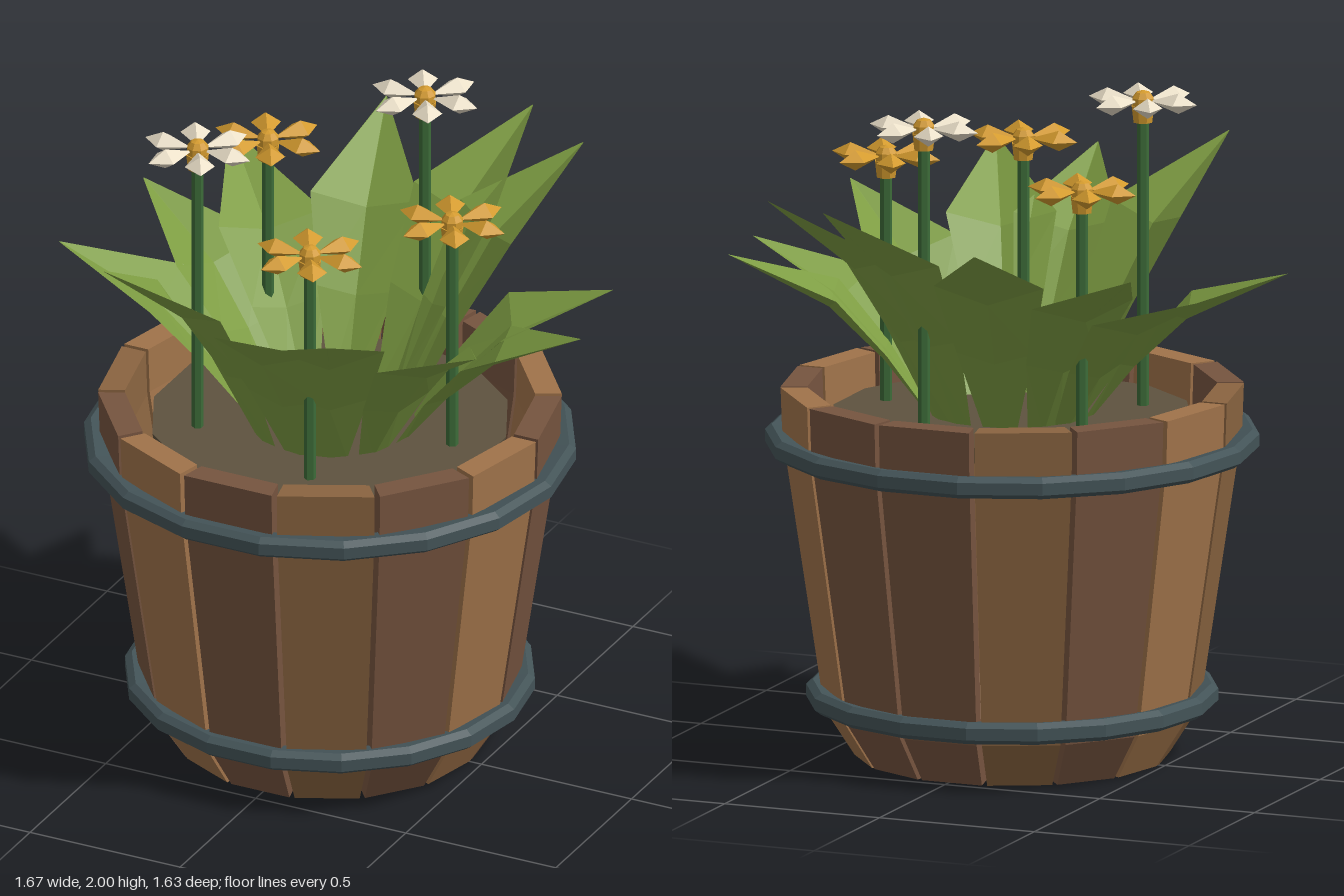
import * as THREE from 'three';

const STAVES = 14;
const SEG = (Math.PI * 2) / STAVES;
const mat = (color, side = THREE.FrontSide) =>
  new THREE.MeshStandardMaterial({ color, flatShading: true, side });

const WOOD = { A: mat(0xa0734a), B: mat(0x76543f), C: mat(0x8a6440) };
const IRON = mat(0x435357);
const SOIL = mat(0x5e523f);
const STEM = mat(0x3c6b38);
const LEAF = mat(0x7d9c42, THREE.DoubleSide);
const GOLD = mat(0xd39a2e);
const CREAM = mat(0xeadfc8);

function add(parent, name, geometry, material, x = 0, y = 0, z = 0) {
  const mesh = new THREE.Mesh(geometry, material);
  mesh.name = name;
  mesh.position.set(x, y, z);
  parent.add(mesh);
  return mesh;
}

// Joins rows of points into faces; closed rows get end caps.
function loft(rows, closed) {
  const out = [];
  const quad = (a, b, c, d) => out.push(...a, ...b, ...c, ...a, ...c, ...d);
  const n = rows[0].length;
  for (let k = 0; k < rows.length - 1; k++) {
    for (let j = 0; j < (closed ? n : n - 1); j++) {
      const m = (j + 1) % n;
      quad(rows[k][j], rows[k + 1][j], rows[k + 1][m], rows[k][m]);
    }
  }
  if (closed) {
    quad(...rows[0]);
    quad(...[...rows[rows.length - 1]].reverse());
  }
  const g = new THREE.BufferGeometry();
  g.setAttribute('position', new THREE.Float32BufferAttribute(out, 3));
  g.computeVertexNormals();
  return g;
}

// One bent plank of the tub, centred on angle 0.
function staveGeometry() {
  const profile = [[0.47, 0], [0.56, 0.14], [0.685, 0.98], [0.69, 1.12]];
  const thick = 0.08, gap = 0.008;
  const corner = (r, y, side) => {
    const a = side * (SEG / 2 - gap / r);
    return [r * Math.cos(a), y, r * Math.sin(a)];
  };
  return loft(profile.map(([r, y]) => [
    corner(r, y, -1), corner(r, y, 1), corner(r - thick, y, 1), corner(r - thick, y, -1),
  ]), true);
}

// Iron band with bevelled edges.
function hoopGeometry(r, y) {
  const profile = [
    [-0.07, -0.025], [-0.02, -0.033], [0, -0.018], [0, 0.018],
    [-0.02, 0.033], [-0.07, 0.025], [-0.07, -0.025],
  ].map(([dx, dy]) => new THREE.Vector2(r + dx, y + dy));
  return new THREE.LatheGeometry(profile, 18).rotateY(Math.PI / 2);
}

// Folded, arching leaf growing along +x.
function leafGeometry(tipR, tipY) {
  const base = 1.02, h = tipY - base;
  // radius, height share, half width, fold depth
  const sections = [
    [0.24, 0, 0.05, 0.01], [0.38, 0.36, 0.115, 0.03],
    [0.54, 0.68, 0.165, 0.05], [tipR, 1, 0.002, 0],
  ];
  return loft(sections.map(([r, t, w, fold]) => {
    const y = base + h * t;
    return [[r - fold * 0.5, y + fold, -w], [r, y, 0], [r - fold * 0.5, y + fold, w]];
  }), false);
}

// Kite-shaped solid petal pointing along +x.
function petalGeometry() {
  const g = new THREE.OctahedronGeometry(1);
  const p = g.attributes.position;
  for (let i = 0; i < p.count; i++) {
    const x = p.getX(i);
    p.setXYZ(i, 0.115 + x * (x > 0 ? 0.06 : 0.095), p.getY(i) * 0.031, p.getZ(i) * 0.045);
  }
  g.computeVertexNormals();
  return g;
}

export function createModel() {
  const model = new THREE.Group();
  model.name = 'flowerTub';

  // Tub
  const tub = new THREE.Group();
  tub.name = 'tub';
  tub.position.set(-0.01, 0, -0.01);
  model.add(tub);
  const stave = staveGeometry();
  [...'ABCBABCABCBBAB'].forEach((wood, i) => {
    add(tub, 'stave', stave, WOOD[wood]).rotation.y = -(i + 0.5) * SEG;
  });
  add(tub, 'upperHoop', hoopGeometry(0.737, 0.96), IRON);
  add(tub, 'lowerHoop', hoopGeometry(0.614, 0.185), IRON);
  add(tub, 'soil', new THREE.CylinderGeometry(0.54, 0.53, 0.05, 14), SOIL, 0, 1.015, 0);

  // Leaves: tip angle in degrees, tip radius, tip height
  const leaves = [
    [0, 0.83, 1.5], [31.6, 0.82, 1.6], [64, 0.82, 1.7], [85.8, 0.81, 1.69],
    [118.7, 0.83, 1.78], [171, 0.85, 1.5], [202.7, 0.86, 1.51], [222.6, 0.86, 1.6],
    [254.3, 0.85, 1.69], [288, 0.85, 1.78], [306.3, 0.84, 1.77], [338.3, 0.84, 1.51],
  ];
  for (const [deg, r, y] of leaves) {
    add(model, 'leaf', leafGeometry(r, y), LEAF).rotation.y = -THREE.MathUtils.degToRad(deg);
  }

  // Flowers: x, z, petal height, petal material
  const petal = petalGeometry();
  const flowers = [
    [0.115, -0.39, 1.967, CREAM], [-0.335, 0.22, 1.967, CREAM],
    [0.395, -0.015, 1.785, GOLD], [0.115, 0.37, 1.785, GOLD], [-0.335, -0.245, 1.785, GOLD],
  ];
  for (const [x, z, y, color] of flowers) {
    const flower = new THREE.Group();
    flower.name = 'flower';
    flower.position.set(x, 0, z);
    model.add(flower);
    const len = y - 1.05;
    add(flower, 'stem', new THREE.CylinderGeometry(0.018, 0.018, len, 6), STEM, 0, 1.0 + len / 2, 0);
    add(flower, 'calyx', new THREE.CylinderGeometry(0.036, 0.03, 0.05, 8), GOLD, 0, y - 0.04, 0);
    add(flower, 'flowerCentre', new THREE.SphereGeometry(0.035, 8, 5), GOLD, 0, y - 0.002, 0);
    for (let i = 0; i < 6; i++) {
      add(flower, 'petal', petal, color, 0, y, 0).rotation.y = (i * Math.PI) / 3;
    }
  }
  return model;
}
